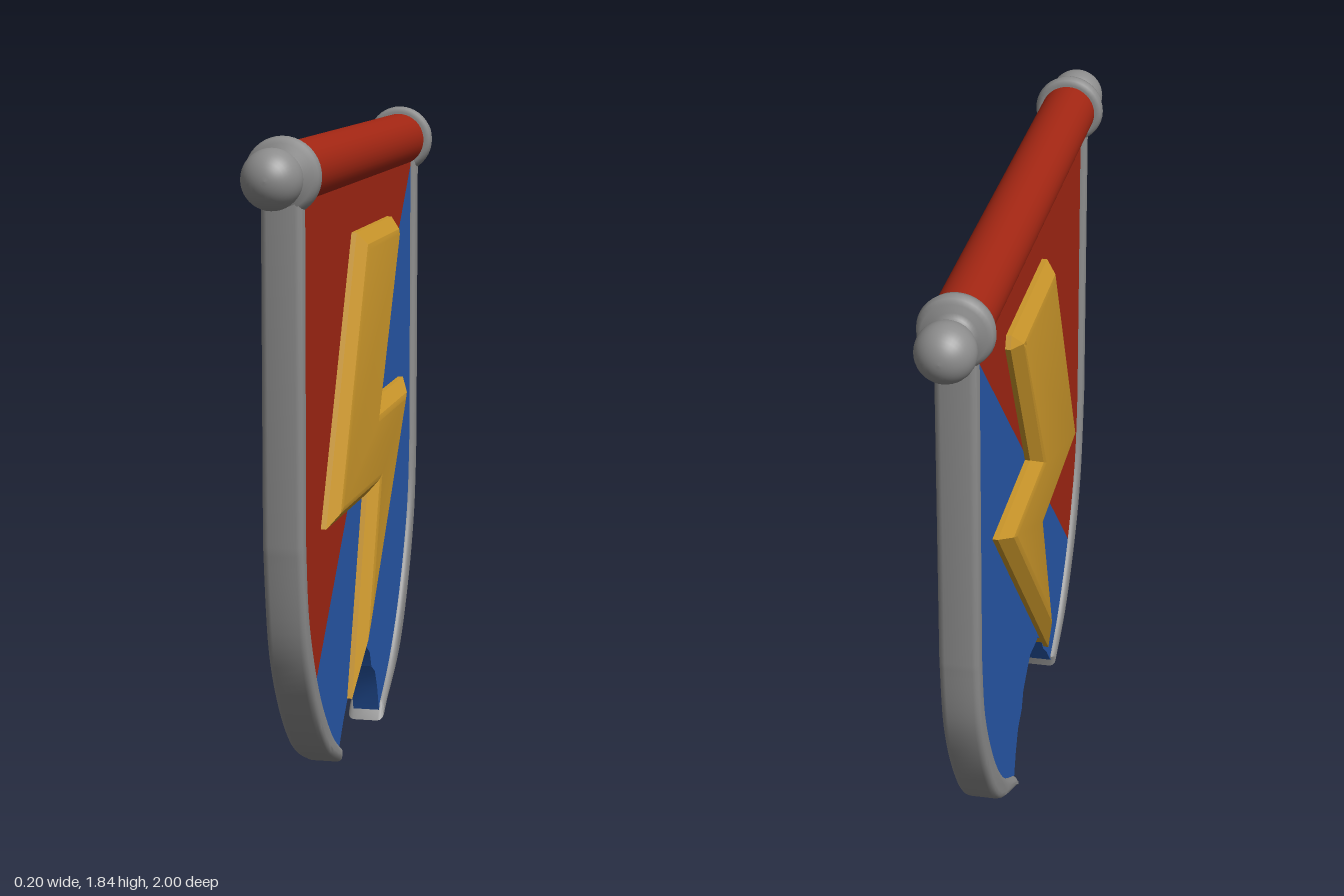
import * as THREE from 'three';
import { toCreasedNormals } from 'three/addons/utils/BufferGeometryUtils.js';

const mat = (name, color, side = THREE.FrontSide) =>
  Object.assign(new THREE.MeshStandardMaterial({ color, side }), { name });

const vecs = pts => pts.map(([x, y]) => new THREE.Vector2(x, y));

// Move every edge of a counter-clockwise polygon inwards by d
function inset(pts, d) {
  const n = pts.length;
  return pts.map((p, i) => {
    const a = p.clone().sub(pts[(i + n - 1) % n]).normalize();
    const b = pts[(i + 1) % n].clone().sub(p).normalize();
    const na = new THREE.Vector2(-a.y, a.x), nb = new THREE.Vector2(-b.y, b.x);
    return p.clone().addScaledVector(na.clone().add(nb), d / (1 + na.dot(nb)));
  });
}

// Solid with mitred slopes on both faces; rings are [inset, z] from back to front
function mitredSolid(outline, rings) {
  const n = outline.length, pos = [], idx = [];
  for (const [d, z] of rings) for (const p of inset(outline, d)) pos.push(p.x, p.y, z);
  for (let r = 0; r < rings.length - 1; r++)
    for (let i = 0; i < n; i++) {
      const a = r * n + i, b = r * n + (i + 1) % n;
      idx.push(a, b, b + n, a, b + n, a + n);
    }
  const last = (rings.length - 1) * n;
  const cap = THREE.ShapeUtils.triangulateShape(inset(outline, rings[0][0]), []);
  for (const [a, b, c] of cap) idx.push(last + a, last + b, last + c, c, b, a);
  const g = new THREE.BufferGeometry();
  g.setAttribute('position', new THREE.Float32BufferAttribute(pos, 3));
  g.setIndex(idx);
  return toCreasedNormals(g, 0.3);
}

export function createModel() {
  const red = mat('red cloth', 0xa32613);
  const blue = mat('blue cloth', 0x2859ab);
  const gold = mat('gold', 0xca962a);
  const grey = mat('grey metal', 0x8c8c8c);

  const group = new THREE.Group();
  group.name = 'banner';
  // Built facing +z, then turned so that the faces look along x
  const banner = new THREE.Group();
  banner.name = 'bannerBody';
  banner.rotation.y = Math.PI / 2;
  group.add(banner);
  const add = (name, geometry, material) => {
    const m = new THREE.Mesh(geometry, material);
    m.name = name;
    banner.add(m);
    return m;
  };

  // Metal edging down both sides, ending at the torn bottom
  const edges = {
    left: {
      outer: [[-0.83, 0.78], [-0.78, 0.5], [-0.67, 0.3], [-0.51, 0.14], [-0.325, 0.05]],
      inner: [[-0.315, 0.09], [-0.46, 0.18], [-0.62, 0.35], [-0.735, 0.57], [-0.77, 0.78]],
    },
    right: {
      outer: [[0.83, 0.78], [0.795, 0.55], [0.69, 0.33], [0.53, 0.14], [0.26, 0.0]],
      inner: [[0.285, 0.05], [0.45, 0.16], [0.61, 0.34], [0.73, 0.57], [0.765, 0.78]],
    },
  };
  const bevel = 0.018;
  for (const [side, { outer, inner }] of Object.entries(edges)) {
    const pts = [
      new THREE.Vector2(outer[0][0], 1.72),
      ...new THREE.SplineCurve(vecs(outer)).getPoints(28),
      ...new THREE.SplineCurve(vecs(inner)).getPoints(28),
      new THREE.Vector2(inner[4][0], 1.72),
    ];
    const g = new THREE.ExtrudeGeometry(new THREE.Shape(pts), {
      depth: 0.11 - 2 * bevel, bevelEnabled: true, bevelSize: bevel,
      bevelThickness: bevel, bevelOffset: -bevel, bevelSegments: 3,
    });
    g.translate(0, 0, -0.055 + bevel);
    add(side + 'Edging', toCreasedNormals(g, 0.7), grey);
  }

  // Cloth split along the diagonal, its borders tucked into the edging
  const cloth = (name, pts, material) => {
    const g = new THREE.ExtrudeGeometry(new THREE.Shape(vecs(pts)), { depth: 0.08, bevelEnabled: false });
    g.translate(0, 0, -0.04);
    add(name, toCreasedNormals(g, 0.6), material);
  };
  cloth('redCloth', [
    [-0.8, 1.74], [-0.8, 0.78], [-0.757, 0.53], [-0.655, 0.316], [0.8, 1.693], [0.8, 1.74],
  ], red);
  cloth('blueCloth', [
    [0.8, 1.693], [-0.655, 0.316], [-0.485, 0.16], [-0.32, 0.075],
    // torn lower edge
    [-0.25, 0.15], [-0.19, 0.2], [-0.15, 0.26], [-0.1, 0.295], [-0.04, 0.3], [0.02, 0.31],
    [0.07, 0.285], [0.13, 0.25], [0.155, 0.2], [0.21, 0.17], [0.245, 0.11], [0.275, 0.03],
    [0.49, 0.15], [0.65, 0.335], [0.763, 0.56], [0.798, 0.78],
  ], blue);

  // Raised lightning bolt, showing on both faces
  const bolt = vecs([
    [-0.14, 1.535], [-0.545, 0.77], [0.01, 0.76], [-0.2, 0.2],
    [0.57, 1.02], [0.11, 1.02], [0.39, 1.5], [0.375, 1.535],
  ]);
  add('bolt', mitredSolid(bolt, [
    [0.05, -0.087], [0.035, -0.083], [0, -0.055], [0, 0.055], [0.035, 0.083], [0.05, 0.087],
  ]), gold);

  // Cloth-wrapped rod
  const rod = new THREE.CylinderGeometry(0.08, 0.08, 1.56, 40);
  rod.rotateZ(Math.PI / 2);
  add('rod', rod, red).position.y = 1.74;

  // Collar, neck and ball at each end of the rod
  const profile = [
    [0, 0.772], [0.085, 0.772], [0.097, 0.78], [0.102, 0.8], [0.097, 0.82],
    [0.085, 0.829], [0.064, 0.832], [0.054, 0.84], [0.047, 0.855],
  ];
  for (let i = 0; i <= 16; i++) {
    const a = THREE.MathUtils.lerp(2.5, 0, i / 16);
    profile.push([0.079 * Math.sin(a), 0.921 + 0.079 * Math.cos(a)]);
  }
  for (const s of [-1, 1]) {
    const g = new THREE.LatheGeometry(vecs(profile), 40);
    g.rotateZ(-s * Math.PI / 2);
    add(s < 0 ? 'frontFinial' : 'backFinial', g, grey).position.y = 1.74;
  }
  return group;
}
